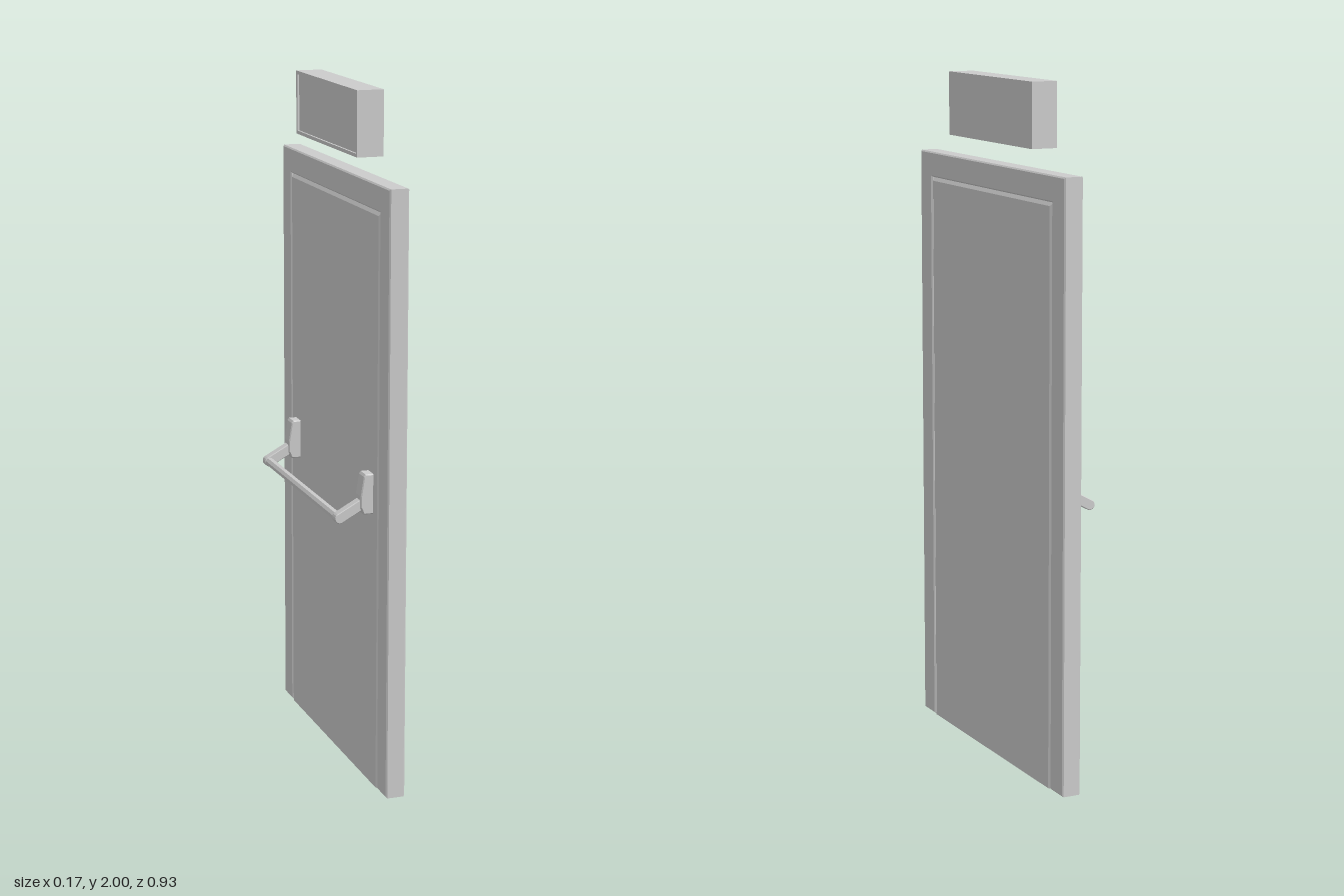
import * as THREE from 'three';

const mat = new THREE.MeshStandardMaterial({ color: 0xcccccc, flatShading: true });

function add(parent, name, geometry, x = 0, y = 0, z = 0) {
  const mesh = new THREE.Mesh(geometry, mat);
  mesh.name = name;
  mesh.position.set(x, y, z);
  parent.add(mesh);
  return mesh;
}

const outline = (points) => new THREE.Shape(points.map(([a, b]) => new THREE.Vector2(a, b)));

// Centred extrusion with an optional chamfer kept inside the outline
function slab(shape, depth, chamfer = 0) {
  const geo = new THREE.ExtrudeGeometry(shape, {
    depth: depth - 2 * chamfer, bevelEnabled: chamfer > 0, bevelSegments: 1,
    bevelSize: chamfer, bevelThickness: chamfer, bevelOffset: -chamfer, curveSegments: 4,
  });
  return geo.translate(0, 0, -depth / 2 + chamfer);
}

export function createModel() {
  const model = new THREE.Group();
  model.name = 'exitDoor';

  // Door leaf: chamfered surround, core and raised panels with bevelled edges
  const door = new THREE.Group();
  door.name = 'door';
  door.position.x = 0.0535;
  model.add(door);
  const W = 0.467, H = 1.755, T = 0.057, w = 0.39, h = 1.68, groove = 0.008, bevel = 0.011;
  const surround = outline([[-W, 0], [-w, 0], [-w, h], [w, h], [w, 0], [W, 0], [W, H], [-W, H]]);
  add(door, 'doorFrame', slab(surround, T, 0.004).rotateY(Math.PI / 2));
  add(door, 'doorCore', new THREE.BoxGeometry(T - 2 * groove, h, 2 * w), 0, h / 2, 0);
  for (const side of [-1, 1]) {
    const geo = new THREE.BoxGeometry(groove, h, 2 * w);
    const p = geo.attributes.position;
    for (let i = 0; i < p.count; i++) {
      if (p.getX(i) * side < 0) continue;
      p.setZ(i, Math.sign(p.getZ(i)) * (w - bevel));
      if (p.getY(i) > 0) p.setY(i, h / 2 - bevel);
    }
    geo.computeVertexNormals();
    add(door, 'doorPanel', geo, side * (T - groove) / 2, h / 2, 0);
  }

  // Sign box over the door, with a shallow recessed face
  const sign = new THREE.Group();
  sign.name = 'sign';
  sign.position.set(0.041, 1.9075, 0);
  model.add(sign);
  const sw = 0.267, sh = 0.0925, rim = 0.01;
  const casing = outline([[-sw, -sh], [sw, -sh], [sw, sh], [-sw, sh]]);
  casing.holes.push(outline([
    [-sw + rim, -sh + rim], [-sw + rim, sh - rim], [sw - rim, sh - rim], [sw - rim, -sh + rim],
  ]));
  add(sign, 'signCasing', slab(casing, 0.078).rotateY(Math.PI / 2));
  add(sign, 'signFace', new THREE.BoxGeometry(0.072, 2 * (sh - rim), 2 * (sw - rim)), 0.003, 0, 0);

  // Push bar: two brackets with sloping arms and an eight-sided bar
  const pushBar = new THREE.Group();
  pushBar.name = 'pushBar';
  model.add(pushBar);
  const bracket = outline([
    [0.026, 0.815], [0.026, 0.932], [0.002, 0.932], [-0.003, 0.925],
    [-0.012, 0.868], [-0.012, 0.835], [-0.003, 0.815],
  ]);
  const r = 0.015, length = 0.085, tilt = 0.5;
  const arm = new THREE.Shape();
  arm.moveTo(length, -r);
  arm.lineTo(length, r);
  arm.lineTo(0, r);
  arm.absarc(0, 0, r, Math.PI / 2, Math.PI * 1.5, false);
  for (const side of [-1, 1]) {
    add(pushBar, 'bracket', slab(bracket, 0.047, 0.003), 0, 0, side * 0.326);
    add(pushBar, 'arm', slab(arm, 0.028, 0.002), -0.071, 0.807, side * 0.326).rotation.z = tilt;
  }
  const rod = new THREE.CylinderGeometry(0.0135, 0.0135, 0.63, 8).rotateX(Math.PI / 2);
  add(pushBar, 'bar', rod, -0.071, 0.807, 0).rotation.z = tilt;

  return model;
}
